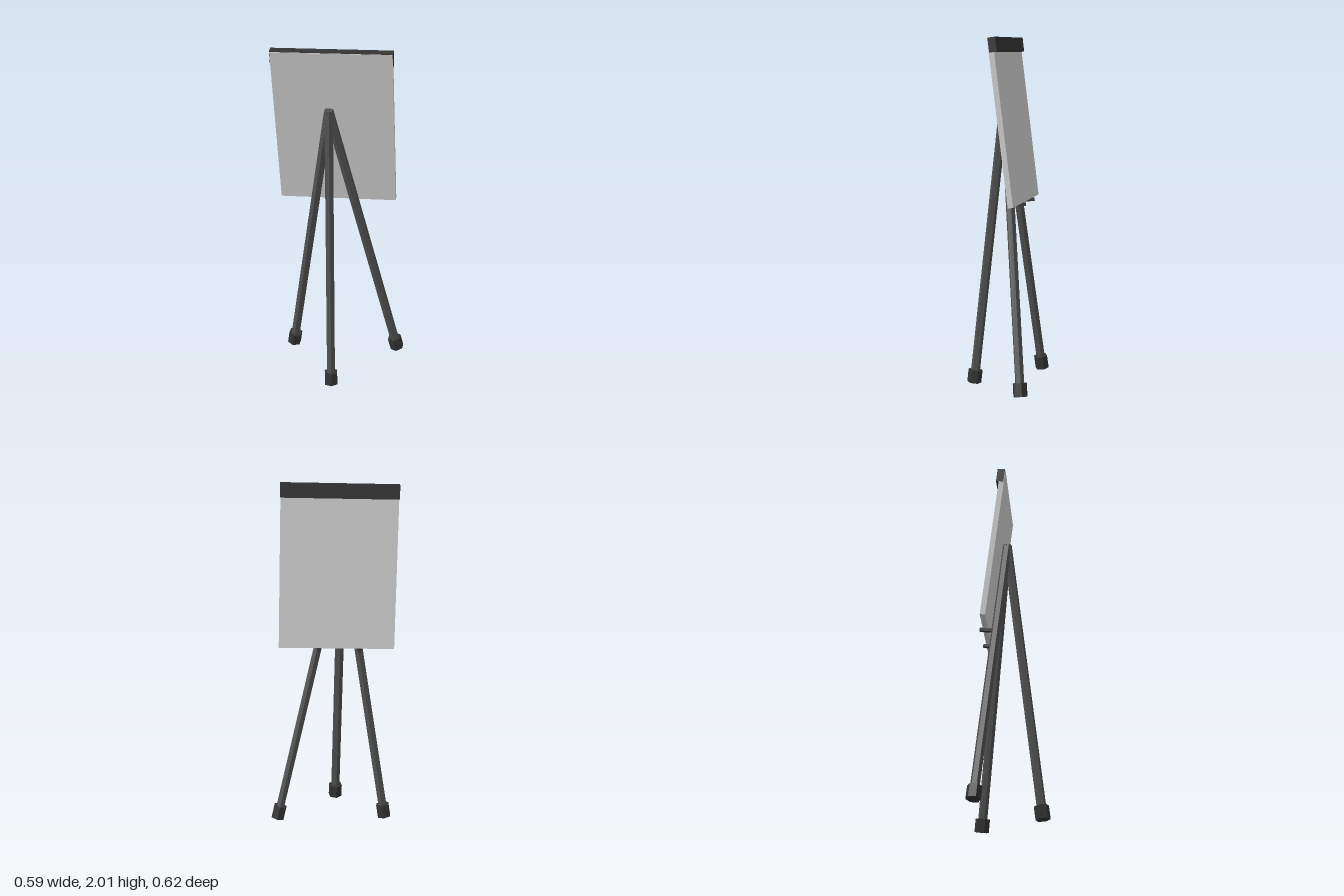
import * as THREE from 'three';

const mat = (color) => new THREE.MeshStandardMaterial({ color, flatShading: true });
const boardMat = mat(0xcccccc);
const legMat = mat(0x505050);
const darkMat = mat(0x333333);

const V = (x, y, z) => new THREE.Vector3(x, y, z);

// Hexagonal leg with a thicker foot cap; one corner points outwards
function makeLeg(name, foot, apex) {
  const leg = new THREE.Group();
  leg.name = name;
  const up = apex.clone().sub(foot);
  const length = up.length();
  up.normalize();
  const out = V(foot.x - apex.x, 0, foot.z - apex.z);
  out.addScaledVector(up, -out.dot(up)).normalize();
  const side = up.clone().cross(out);
  leg.quaternion.setFromRotationMatrix(new THREE.Matrix4().makeBasis(side, up, out));
  leg.position.copy(foot);

  const pole = new THREE.Mesh(new THREE.CylinderGeometry(0.026, 0.026, length - 0.02, 6), legMat);
  pole.name = name + 'Pole';
  pole.position.y = (length + 0.02) / 2;
  const cap = new THREE.Mesh(new THREE.CylinderGeometry(0.041, 0.041, 0.075, 6), darkMat);
  cap.name = name + 'FootCap';
  cap.position.y = 0.0375;
  leg.add(pole, cap);
  return leg;
}

export function createModel() {
  const model = new THREE.Group();
  model.name = 'easel';

  // Tripod
  const apex = V(-0.11, 1.657, 0.022);
  model.add(
    makeLeg('rearLeg', V(-0.238, 0.004, 0.15), apex),
    makeLeg('frontLegA', V(-0.107, 0.037, -0.272), apex),
    makeLeg('frontLegB', V(0.256, 0.047, 0.238), apex)
  );

  // Board frame: local x across, y up the board, z out of its front;
  // origin in the middle of the bottom edge, on the back face
  const W = 0.648, H = 0.916, T = 0.03;
  const panel = new THREE.Group();
  panel.name = 'panel';
  const x = V(-0.365, -0.018, -0.535).normalize();
  const y = V(-0.11, 0.91, 0.048);
  y.addScaledVector(x, -y.dot(x)).normalize();
  const z = x.clone().cross(y);
  panel.quaternion.setFromRotationMatrix(new THREE.Matrix4().makeBasis(x, y, z));
  panel.position.set(-0.0025, 1.079, -0.0055);
  model.add(panel);

  const box = (name, w, h, d, px, py, pz, material) => {
    const m = new THREE.Mesh(new THREE.BoxGeometry(w, h, d), material);
    m.name = name;
    m.position.set(px, py, pz);
    panel.add(m);
  };

  box('board', W, H, T, 0, H / 2, T / 2, boardMat);
  // Clamp bar along the top edge, standing out in front
  box('clampBar', W + 0.004, 0.08, 0.042, 0, H - 0.037, 0.024, darkMat);
  // Pegs from the front legs that carry the board
  for (const px of [0.13, -0.097]) box('supportPeg', 0.02, 0.018, 0.085, px, -0.007, 0.0035, darkMat);

  return model;
}
